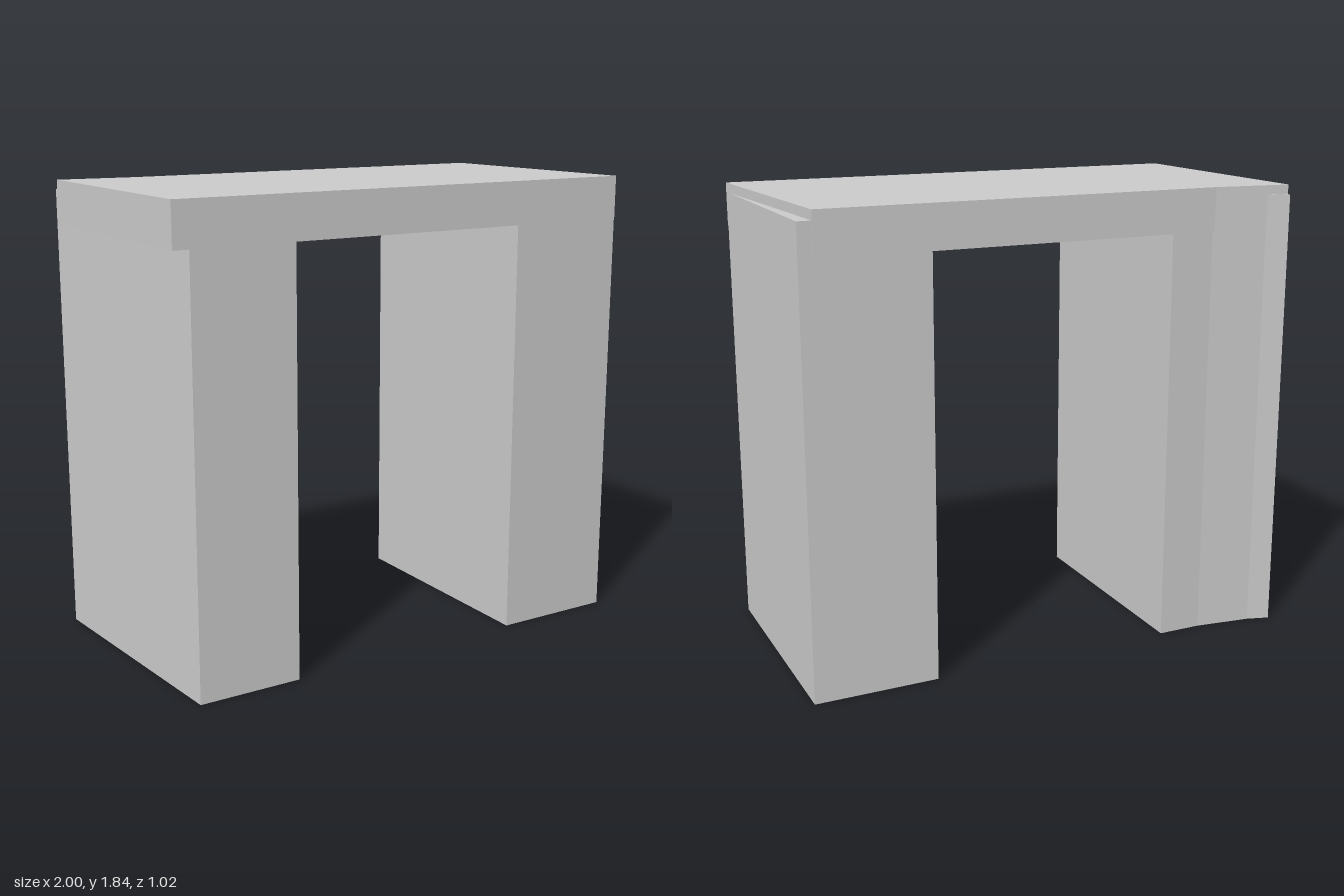
import * as THREE from 'three';

const material = new THREE.MeshStandardMaterial({ color: 0xcccccc, flatShading: true });

// Upright prism from a floor outline of [x, z] points, between two heights
function prism(name, outline, bottom, top) {
  const shape = new THREE.Shape(outline.map(([x, z]) => new THREE.Vector2(x, -z)));
  const geometry = new THREE.ExtrudeGeometry(shape, { depth: top - bottom, bevelEnabled: false });
  geometry.rotateX(-Math.PI / 2);
  geometry.translate(0, bottom, 0);
  const mesh = new THREE.Mesh(geometry, material);
  mesh.name = name;
  return mesh;
}

export function createModel() {
  const group = new THREE.Group();
  group.name = 'archway';
  const front = 0.508;
  const legTop = 1.802;

  // Left pillar: straight sides, almost square to the front
  group.add(prism('leftPillar', [
    [0.5, front], [0.998, front], [1, -0.468], [0.5, -0.461],
  ], 0, legTop));

  // Right pillar: slanted outer side, back flaring outward at the corner
  group.add(prism('rightPillar', [
    [-0.918, front], [-0.5, front], [-0.5, -0.457], [-0.68, -0.455],
    [-0.91, -0.482], [-1, -0.508],
  ], 0, legTop));

  // Lintel slab: slightly skewed, lying over both pillars
  group.add(prism('lintel', [
    [-0.982, front], [1, front], [0.945, -0.469], [-0.69, -0.456], [-1, -0.493],
  ], 1.668, 1.84));

  return group;
}
